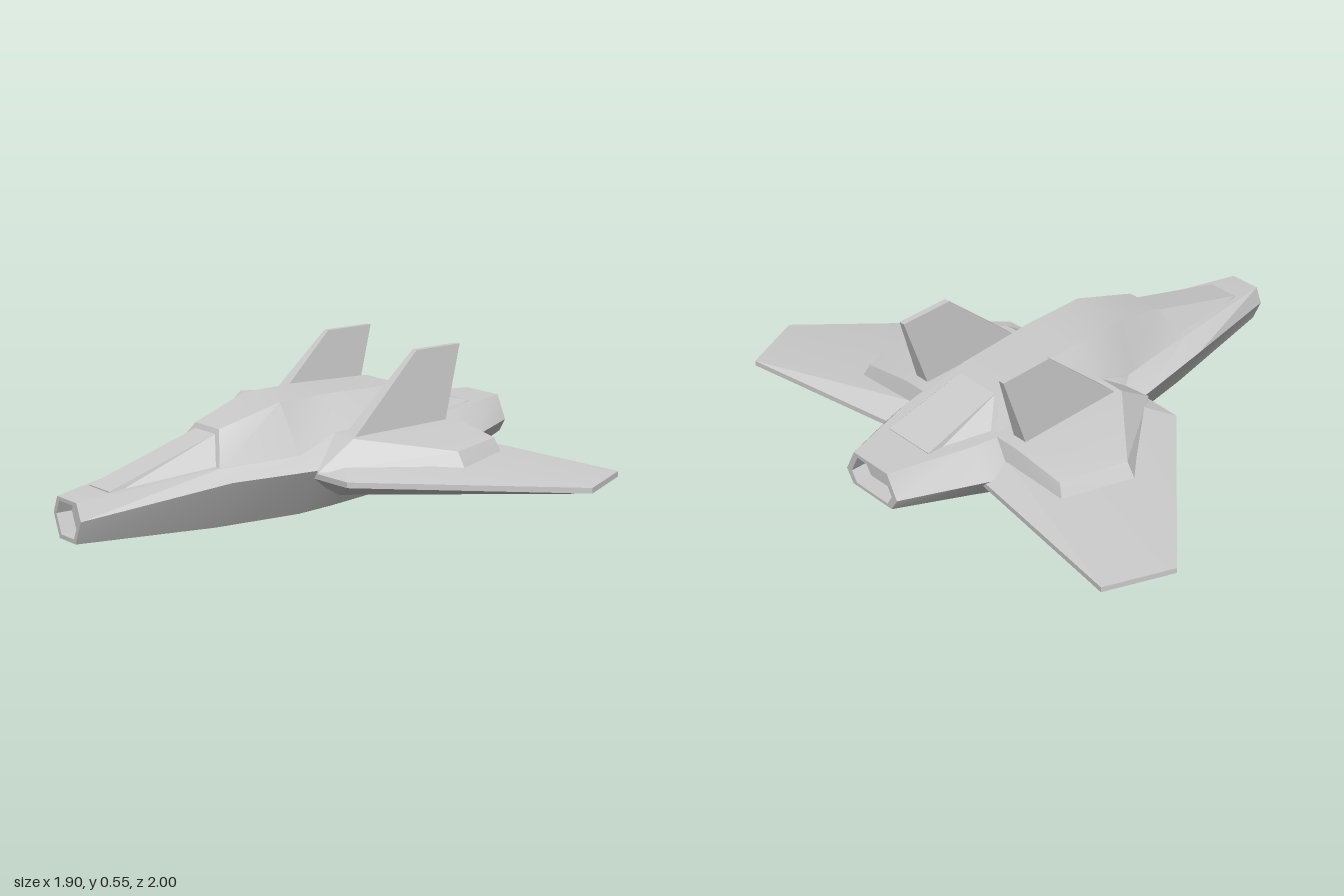
import * as THREE from 'three';
import { toCreasedNormals } from 'three/addons/utils/BufferGeometryUtils.js';
import { ConvexGeometry } from 'three/addons/geometries/ConvexGeometry.js';

const material = new THREE.MeshStandardMaterial({ color: 0xcccccc });

// Half section (top to bottom, +z side) mirrored into a closed ring
function ring(half) {
  const mirrored = half.map(([x, y, z]) => [x, y, -z]).reverse();
  return [...half, ...mirrored];
}

// Ring scaled about its centre and shifted along x
function inset(points, scale, dx = 0) {
  const n = points.length;
  const c = [0, 1, 2].map((k) => points.reduce((sum, p) => sum + p[k], 0) / n);
  return points.map((p) => p.map((v, k) => c[k] + (v - c[k]) * scale + (k === 0 ? dx : 0)));
}

// Skin through rings running from -x to +x
function loft(rings) {
  const positions = [];
  const n = rings[0].length;
  for (let i = 0; i < rings.length - 1; i++) {
    for (let j = 0; j < n; j++) {
      const k = (j + 1) % n;
      const a = rings[i][j], b = rings[i][k], c = rings[i + 1][k], d = rings[i + 1][j];
      positions.push(...a, ...b, ...d, ...b, ...c, ...d);
    }
  }
  const geometry = new THREE.BufferGeometry();
  geometry.setAttribute('position', new THREE.Float32BufferAttribute(positions, 3));
  geometry.computeVertexNormals();
  return toCreasedNormals(geometry, 0.4);
}

function solidLoft(halves) {
  const rings = halves.map(ring);
  return loft([inset(rings[0], 0), ...rings, inset(rings.at(-1), 0)]);
}

function convex(points, side) {
  const geometry = new ConvexGeometry(points.map(([x, y, z]) => new THREE.Vector3(x, y, z * side)));
  return toCreasedNormals(geometry, 0.2);
}

export function createModel() {
  const group = new THREE.Group();
  const add = (name, geometry) => {
    const mesh = new THREE.Mesh(geometry, material);
    mesh.name = name;
    group.add(mesh);
  };

  // Hull: x, then height and half width of the top edge, belt and bottom edge
  const hull = [
    [-0.95, 0.16, 0.06, 0.10, 0.085, 0.015, 0.05],
    [-0.43, 0.215, 0.155, 0.18, 0.23, 0.0, 0.13],
    [-0.10, 0.215, 0.185, 0.18, 0.278, 0.002, 0.175],
    [0.05, 0.28, 0.195, 0.18, 0.28, 0.01, 0.18],
    [0.56, 0.28, 0.19, 0.18, 0.27, 0.04, 0.17],
    [0.65, 0.28, 0.173, 0.18, 0.26, 0.065, 0.155],
    [0.95, 0.28, 0.085, 0.19, 0.13, 0.14, 0.10],
  ].map(([x, y1, z1, y2, z2, y3, z3]) => ring([[x, y1, z1], [x, y2, z2], [x, y3, z3]]));
  const nose = hull[0], tail = hull.at(-1);
  // Both ends are sunk behind a thin rim
  add('hull', loft([
    inset(nose, 0, 0.06), inset(nose, 0.78, 0.06), inset(nose, 0.8),
    ...hull,
    inset(tail, 0.8), inset(tail, 0.78, -0.06), inset(tail, 0, -0.06),
  ]));

  // Raised cabin with slanted ends
  add('cabin', solidLoft([
    [[-0.37, 0.33, 0.07], [-0.43, 0.205, 0.155]],
    [[-0.13, 0.40, 0.105], [-0.10, 0.21, 0.185]],
    [[0.10, 0.403, 0.108], [0.05, 0.27, 0.195]],
    [[0.44, 0.392, 0.10], [0.55, 0.27, 0.18]],
  ]));
  // Sloping panes, a little lower than the cabin frame
  add('windscreen', solidLoft([
    [[-0.82, 0.178, 0.06], [-0.82, 0.16, 0.065]],
    [[-0.37, 0.315, 0.058], [-0.42, 0.20, 0.14]],
  ]));
  add('rearSlope', solidLoft([
    [[0.44, 0.372, 0.088], [0.53, 0.265, 0.168]],
    [[0.78, 0.283, 0.10], [0.78, 0.26, 0.105]],
  ]));

  for (const [label, side] of [['left', 1], ['right', -1]]) {
    // Wing: thin outer rim swelling towards the root
    const plan = [[-0.1, 0.2], [-0.09, 0.43], [0.52, 1.0], [0.76, 0.895], [0.65, 0.2]];
    add(label + 'Wing', convex([
      ...plan.flatMap(([x, z]) => [[x, 0.168, z], [x, 0.148, z]]),
      [0.04, 0.213, 0.25], [0.56, 0.213, 0.25],
      [0.02, 0.068, 0.25], [0.56, 0.085, 0.25],
    ], side));

    // Wing pod: bevelled block with a sloping front
    add(label + 'Pod', convex([
      [-0.1, 0.175, 0.2], [-0.1, 0.175, 0.285],
      [0.05, 0.28, 0.18], [0.05, 0.276, 0.295], [0.04, 0.2, 0.31],
      [0.3, 0.245, 0.565], [0.3, 0.19, 0.6],
      [0.545, 0.245, 0.49], [0.56, 0.19, 0.515],
      [0.55, 0.28, 0.28], [0.55, 0.28, 0.18], [0.57, 0.18, 0.2],
    ], side));

    // Tail fin: swept and tapering upwards
    add(label + 'Fin', convex([
      [0.07, 0.275, 0.222], [0.07, 0.275, 0.28],
      [0.5, 0.275, 0.222], [0.5, 0.275, 0.28],
      [0.37, 0.55, 0.24], [0.37, 0.55, 0.262],
      [0.58, 0.55, 0.24], [0.58, 0.55, 0.262],
    ], side));
  }
  return group;
}
